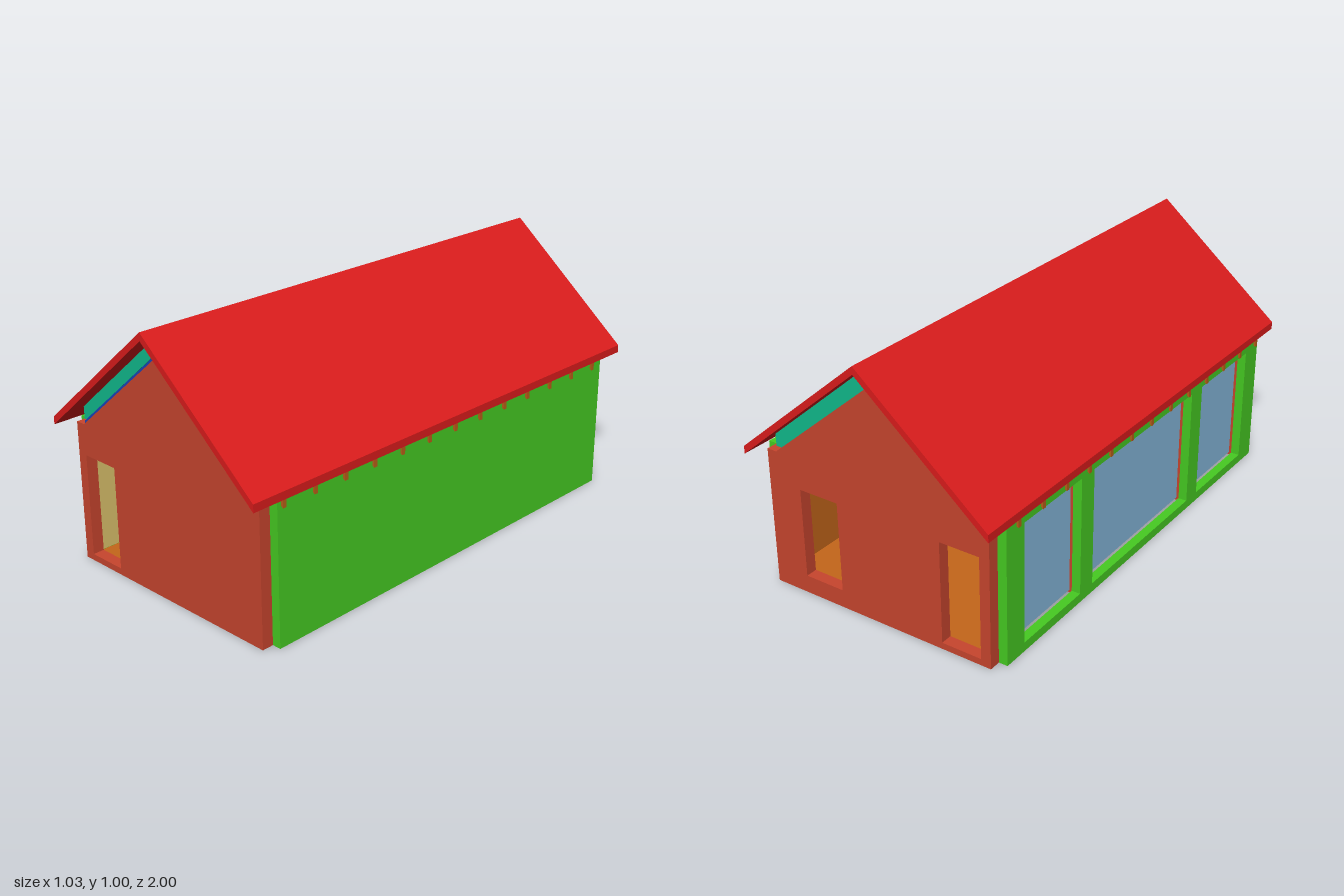
import * as THREE from 'three';

const mat = (color) => new THREE.MeshStandardMaterial({ color, flatShading: true });
const M = {
  roof: mat(0xdb1c1c), wall: mat(0xc8452e), green: mat(0x46cb22), teal: mat(0x10ba8c),
  blue: mat(0x1a44b8), wood: mat(0xb85f18), floor: mat(0xc4661a), glass: mat(0x86b8dc), khaki: mat(0xdcc26c),
};
const SLOPE = 0.845;

export function createModel() {
  const root = new THREE.Group();

  const add = (name, geometry, material) => {
    const mesh = new THREE.Mesh(geometry, material);
    mesh.name = name;
    root.add(mesh);
    return mesh;
  };
  // Box given by its limits on each axis
  const box = (name, material, x0, x1, y0, y1, z0, z1) => {
    const mesh = add(name, new THREE.BoxGeometry(x1 - x0, y1 - y0, z1 - z0), material);
    mesh.position.set((x0 + x1) / 2, (y0 + y1) / 2, (z0 + z1) / 2);
    return mesh;
  };
  // Outline in x, y swept from z0 to z1, with rectangular openings
  const prism = (name, material, points, z0, z1, openings = []) => {
    const shape = new THREE.Shape(points.map(([x, y]) => new THREE.Vector2(x, y)));
    for (const [x0, x1, y0, y1] of openings) {
      shape.holes.push(new THREE.Path([[x0, y0], [x0, y1], [x1, y1], [x1, y0]].map(([x, y]) => new THREE.Vector2(x, y))));
    }
    const geometry = new THREE.ExtrudeGeometry(shape, { depth: z1 - z0, bevelEnabled: false });
    geometry.translate(0, 0, z0);
    return add(name, geometry, material);
  };

  // Gable walls with door and window openings
  const gable = [[-0.47, 0], [0.47, 0], [0.47, 0.54], [0.43, 0.54], [0, 0.9], [-0.43, 0.54], [-0.47, 0.54]];
  const door = [-0.43, -0.27, 0.025, 0.42];
  prism('frontGableWall', M.wall, gable, 0.89, 0.935, [door]);
  prism('backGableWall', M.wall, gable, -0.935, -0.89, [door, [0.165, 0.33, 0.07, 0.42]]);

  // Floor, solid side wall and its lining
  box('floor', M.floor, -0.435, 0.47, 0.004, 0.025, -0.89, 0.89);
  box('solidSideWall', M.green, 0.47, 0.505, 0, 0.54, -0.89, 0.89);
  box('solidWallLining', M.floor, 0.455, 0.469, 0.025, 0.54, -0.89, 0.89);

  // Glazed side wall: rails, posts, jambs and panes
  const posts = [[-0.89, -0.79], [-0.445, -0.365], [0.335, 0.415], [0.79, 0.89]];
  box('bottomRail', M.green, -0.505, -0.47, 0, 0.035, -0.89, 0.89);
  box('topRail', M.green, -0.505, -0.47, 0.5, 0.54, -0.89, 0.89);
  posts.forEach(([z0, z1], i) => {
    box('windowPost', M.green, -0.505, -0.47, 0.035, 0.5, z0, z1);
    box('postLining', M.khaki, -0.45, -0.436, 0.025, 0.52, z0, z1);
    if (i > 0) {
      const start = posts[i - 1][1];
      box('windowPane', M.glass, -0.46, -0.45, 0.035, 0.465, start, z0);
      for (const z of [start - 0.02, z0]) box('windowJamb', M.wall, -0.47, -0.45, 0.025, 0.5, z, z + 0.02);
    }
  });

  // Roof covering
  prism('roof', M.roof, [[0, 1], [-0.515, 0.565], [-0.515, 0.535], [0, 0.97], [0.515, 0.535], [0.515, 0.565]], -1, 1);

  // Insulation under each roof slope, cut level at the eaves
  const insulation = (side, bottom) => prism('roofInsulation', M.teal, [
    [0, 0.97], [side * 0.43, 0.97 - SLOPE * 0.43], [side * 0.43, 0.56],
    [side * (bottom - 0.56) / SLOPE, 0.56], [0, bottom],
  ].slice()[side > 0 ? 'reverse' : 'slice'](), -0.93, 0.93);
  insulation(1, 0.9);
  insulation(-1, 0.914);

  // Sloping ceiling panel on the glazed side
  prism('ceilingPanel', M.blue, [[-0.43, 0.54], [-0.03, 0.875], [-0.03, 0.887], [-0.43, 0.552]], -0.93, 0.93);

  // Wall plates and the row of rafter ends on both sides
  for (const side of [-1, 1]) {
    const [a, b] = [side * 0.44, side * 0.468].sort((p, q) => p - q);
    box('wallPlate', M.wood, a, b, 0.54, 0.553, -0.89, 0.89);
    for (let i = 0; i < 13; i++) {
      const z = 0.865 - i * 0.141;
      prism('rafter', M.wood, [
        [side * 0.02, 0.953], [side * 0.513, 0.537], [side * 0.513, 0.505], [side * 0.02, 0.92],
      ], z - 0.008, z + 0.008);
    }
  }
  return root;
}
